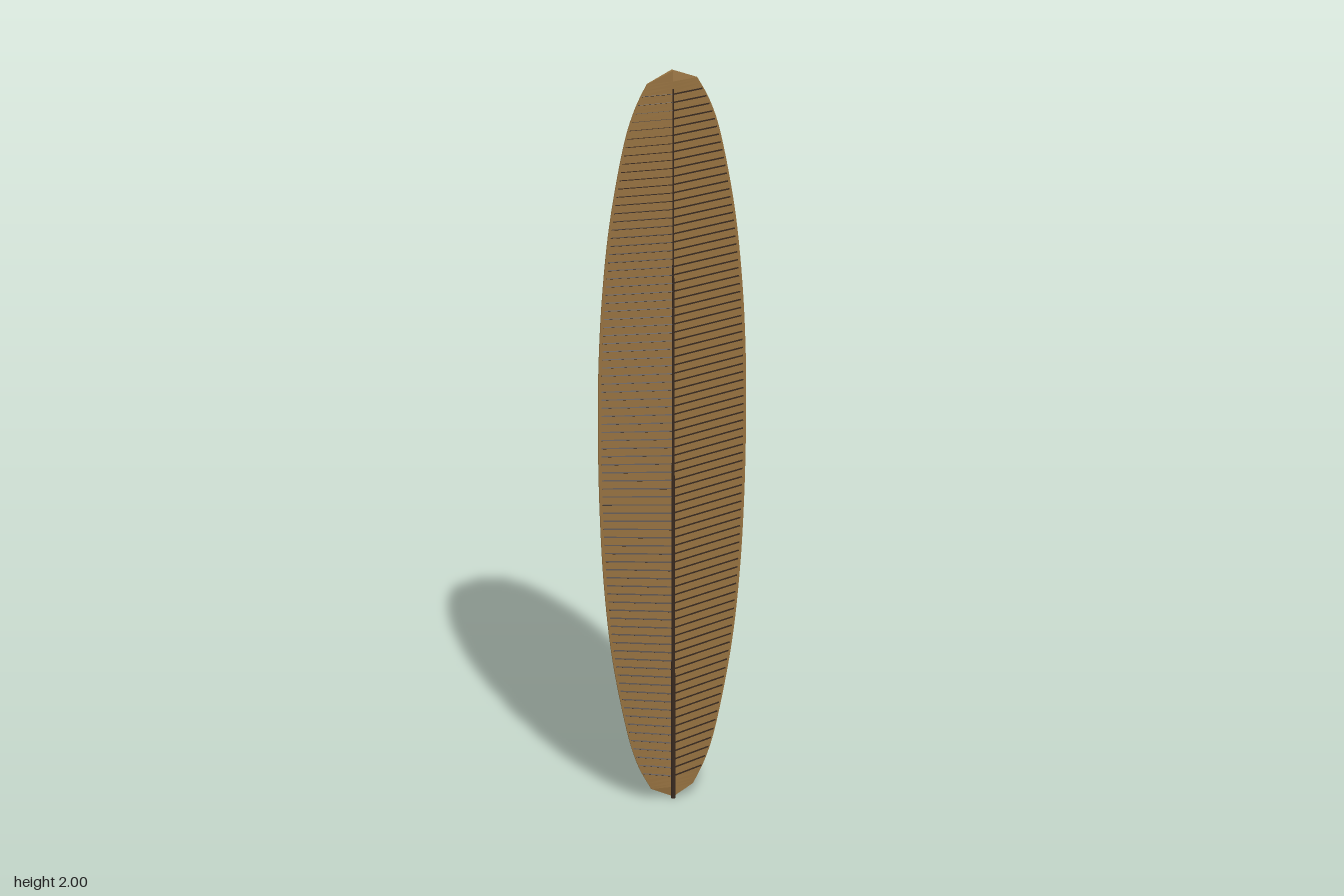
import * as THREE from 'three';
import { mergeGeometries } from 'three/addons/utils/BufferGeometryUtils.js';

const RIDGE = -0.0008;   // front face height along the middle
const EDGE = -0.0065;    // front face height along the rim
const THICK = 0.0035;

// Half width of the vane against height, blunt at both ends
const rim = new THREE.SplineCurve([
  [0.058, 0.03], [0.095, 0.1], [0.126, 0.2], [0.166, 0.4], [0.189, 0.6], [0.201, 0.8],
  [0.206, 1.0], [0.205, 1.2], [0.195, 1.4], [0.174, 1.6], [0.137, 1.8], [0.106, 1.9], [0.07, 1.97],
].map(([x, y]) => new THREE.Vector2(x, y))).getPoints(72);
const outline = [new THREE.Vector2(0.0005, 0.003), ...rim, new THREE.Vector2(0.0005, 2)];

function halfWidth(y) {
  for (let i = 1; i < outline.length; i++) {
    const a = outline[i - 1], b = outline[i];
    if (y <= b.y) return THREE.MathUtils.mapLinear(y, a.y, b.y, a.x, b.x);
  }
  return 0;
}

// Thin sheet with a shallow fold: six-point sections joined in rings
function vaneGeometry() {
  const pos = [], idx = [];
  for (const { x: w, y } of outline) {
    pos.push(-w, y, EDGE, 0, y, RIDGE, w, y, EDGE,
      w, y, EDGE - THICK, 0, y, RIDGE - THICK, -w, y, EDGE - THICK);
  }
  const last = (outline.length - 1) * 6;
  for (let r = 0; r < last; r += 6) {
    for (let k = 0; k < 6; k++) {
      const a = r + k, b = r + (k + 1) % 6;
      idx.push(a, b, b + 6, a, b + 6, a + 6);
    }
  }
  // End caps
  for (const [a, b, c, d] of [[0, 1, 4, 5], [1, 2, 3, 4]]) {
    idx.push(a, d, c, a, c, b);
    idx.push(last + a, last + b, last + c, last + a, last + c, last + d);
  }
  const geo = new THREE.BufferGeometry();
  geo.setAttribute('position', new THREE.Float32BufferAttribute(pos, 3));
  geo.setIndex(idx);
  const flat = geo.toNonIndexed();
  flat.computeVertexNormals();
  return flat;
}

// Fine bars lying on one half of the vane, rising outward
function barbGeometry(side) {
  const bars = [], count = 84, xAxis = new THREE.Vector3(1, 0, 0);
  for (let i = 0; i < count; i++) {
    const t = i / (count - 1);
    const y = 0.06 + t * 1.875;
    const slope = THREE.MathUtils.lerp(0.2, 0.03, t);
    let w = halfWidth(y);
    for (let k = 0; k < 4; k++) w = halfWidth(y + slope * w);
    w *= 0.96;
    const start = new THREE.Vector3(0, y, RIDGE);
    const end = new THREE.Vector3(side * w, y + slope * w, THREE.MathUtils.lerp(RIDGE, EDGE, 0.96));
    const dir = end.clone().sub(start);
    const bar = new THREE.BoxGeometry(dir.length(), 0.004, 0.0012);
    bar.applyQuaternion(new THREE.Quaternion().setFromUnitVectors(xAxis, dir.clone().normalize()));
    const mid = start.add(end).multiplyScalar(0.5);
    bar.translate(mid.x, mid.y, mid.z);
    bars.push(bar);
  }
  return mergeGeometries(bars);
}

export function createModel() {
  const model = new THREE.Group();
  model.name = 'feather';
  const tan = new THREE.MeshStandardMaterial({ color: 0x94703f });
  const dark = new THREE.MeshStandardMaterial({ color: 0x38291f });

  const add = (name, geometry, material) => {
    const mesh = new THREE.Mesh(geometry, material);
    mesh.name = name;
    model.add(mesh);
    return mesh;
  };

  add('vane', vaneGeometry(), tan);
  add('leftBarbs', barbGeometry(1), dark);
  add('rightBarbs', barbGeometry(-1), dark);

  // Tapered central shaft
  add('shaft', new THREE.CylinderGeometry(0.0015, 0.0065, 1.95, 8), dark).position.y = 0.975;

  return model;
}
